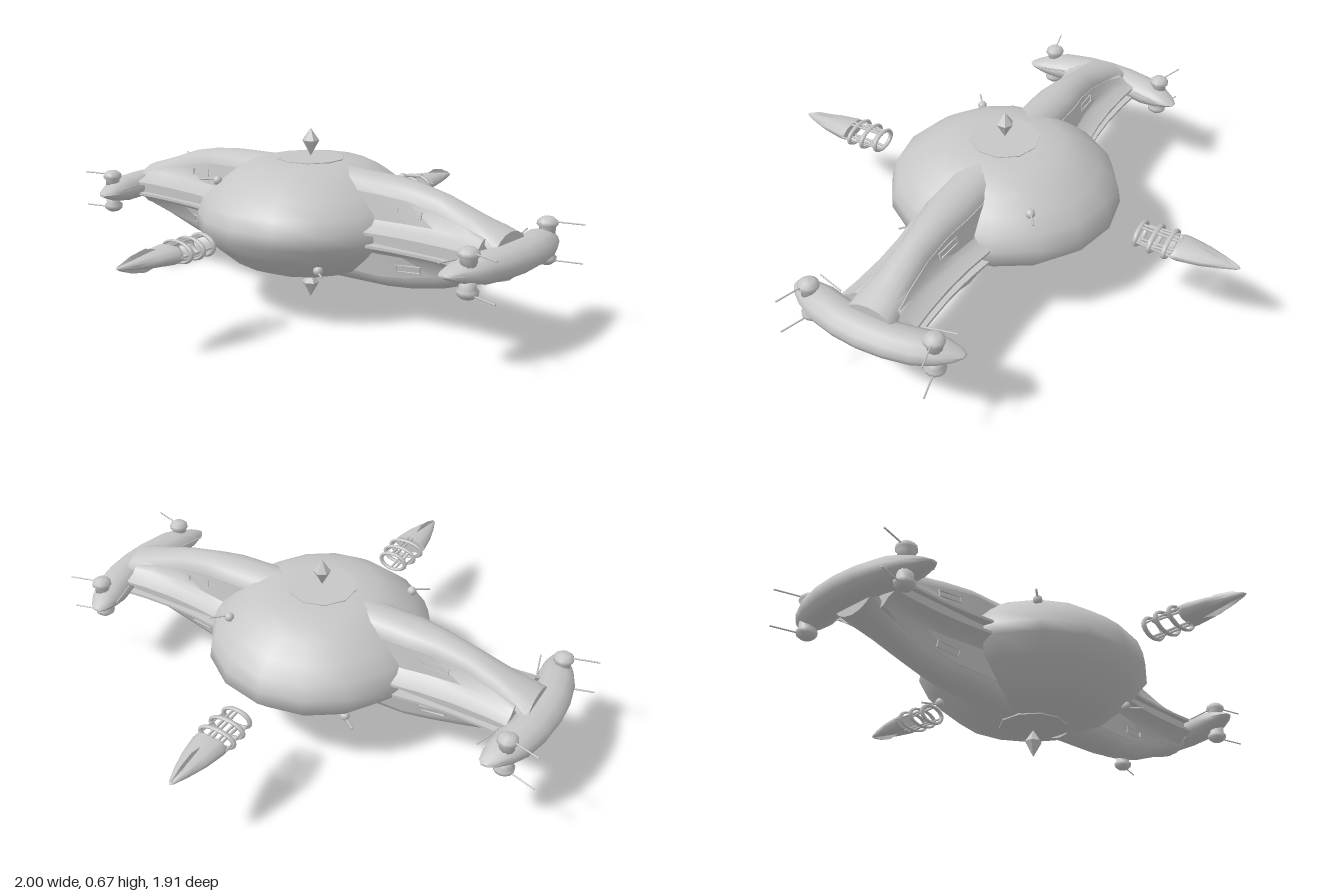
import * as THREE from 'three';
import { toCreasedNormals } from 'three/addons/utils/BufferGeometryUtils.js';

const grey = new THREE.MeshStandardMaterial({ color: 0xc6c6c6 });
grey.name = 'hull grey';

const V = (x, y, z) => new THREE.Vector3(x, y, z);

function part(name, geometry, parent) {
  const mesh = new THREE.Mesh(geometry, grey);
  mesh.name = name;
  parent.add(mesh);
  return mesh;
}

// Closed skin over rings of points; rings run counter-clockwise seen from the far end
function loft(rings, crease = 0.6) {
  const n = rings[0].length, last = (rings.length - 1) * n, index = [];
  for (let i = 0; i < rings.length - 1; i++) {
    for (let j = 0; j < n; j++) {
      const a = i * n + j, b = i * n + (j + 1) % n;
      index.push(a, b, b + n, a, b + n, a + n);
    }
  }
  for (let j = 1; j < n - 1; j++) {
    index.push(0, j + 1, j, last, last + j, last + j + 1);
  }
  const g = new THREE.BufferGeometry().setFromPoints(rings.flat());
  g.setIndex(index);
  return toCreasedNormals(g, crease);
}

// Thin round bar between two points
function bar(name, a, b, radius, parent) {
  const d = b.clone().sub(a);
  const mesh = part(name, new THREE.CylinderGeometry(radius, radius, d.length(), 6), parent);
  mesh.position.copy(a).addScaledVector(d, 0.5);
  mesh.quaternion.setFromUnitVectors(V(0, 1, 0), d.normalize());
}

function lathe(points, sides) {
  return new THREE.LatheGeometry(points.map(([r, y]) => new THREE.Vector2(r, y)), sides);
}

// Upper half of a wing: low shelf, steep walls, rounded spine and slots, heading to +x
function halfWing() {
  const wing = new THREE.Group();
  wing.name = 'halfWing';
  // x, spine top, spine foot, spine half width, shelf half width
  const stations = [
    [0.15, 0.213, 0.15, 0.09, 0.18], [0.4, 0.204, 0.15, 0.09, 0.165],
    [0.5, 0.194, 0.14, 0.075, 0.152], [0.62, 0.17, 0.115, 0.066, 0.145],
    [0.75, 0.125, 0.085, 0.075, 0.148], [0.83, 0.099, 0.068, 0.088, 0.155],
  ];
  part('walls', loft(stations.map(([x, , foot, w, e]) => {
    const side = [[e, 0.018], [e, 0.028], [w + 0.032, 0.043], [w + 0.012, 0.062], [w * 0.98, foot]];
    return [...side.map(([z, y]) => V(x, y, -z)), ...side.reverse().map(([z, y]) => V(x, y, z))];
  })), wing);
  const spine = [...stations, [0.88, 0.085, 0.03, 0.102]];
  part('spine', loft(spine.map(([x, top, foot, w]) => {
    const ring = [];
    for (let k = 0; k <= 8; k++) {
      const a = (k / 8 - 0.5) * Math.PI;
      ring.push(V(x, foot - 0.02 + (top - foot + 0.02) * Math.cos(a), w * Math.sin(a)));
    }
    return ring;
  })), wing);
  // slot frames on both walls
  for (const s of [1, -1]) {
    const frame = new THREE.Group();
    frame.name = 'slotFrame';
    frame.position.set(0.52, 0.102, s * 0.079);
    frame.rotation.set(-s * 0.2, s * 0.08, -0.06);
    for (const t of [1, -1]) {
      part('slotRail', new THREE.BoxGeometry(0.1, 0.004, 0.009), frame).position.y = t * 0.012;
      part('slotEnd', new THREE.BoxGeometry(0.004, 0.026, 0.009), frame).position.x = t * 0.048;
    }
    wing.add(frame);
  }
  return wing;
}

// Crescent pod across the wing tip, with turrets above and below
function tipPod() {
  const pod = new THREE.Group();
  pod.name = 'tipPod';
  // z, inner x, outer x, half height
  const half = [
    [0.1, 0.825, 0.968, 0.053], [0.2, 0.803, 0.947, 0.051],
    [0.27, 0.8, 0.915, 0.036], [0.32, 0.808, 0.878, 0.016], [0.342, 0.822, 0.85, 0.004],
  ];
  const all = [...half.map(([z, ...r]) => [-z, ...r]).reverse(), [0, 0.83, 0.975, 0.054], ...half];
  part('podBody', loft(all.map(([z, inner, outer, h]) => {
    const ring = [];
    for (let k = 0; k < 12; k++) {
      const a = k / 12 * Math.PI * 2;
      ring.push(V((inner + outer) / 2 + (outer - inner) / 2 * Math.cos(a), h * Math.sin(a), z));
    }
    return ring;
  }), 0.9), pod);
  for (const s of [1, -1]) {
    for (const u of [1, -1]) {
      const turret = part('podTurret', lathe(
        [[0, 0], [0.029, 0], [0.029, 0.03], [0.038, 0.038], [0.036, 0.052], [0.022, 0.064], [0, 0.067]], 12), pod);
      turret.position.set(0.875, u * 0.02, s * 0.252);
      if (u < 0) turret.rotation.x = Math.PI;
      bar('podGun', V(0.89, u * 0.07, s * 0.256), V(1, u * 0.07, s * 0.288), 0.003, pod);
    }
    bar('innerAntenna', V(0.81, 0.02, s * 0.17), V(0.78, 0.02, s * 0.28), 0.003, pod);
  }
  return pod;
}

// Free-floating probe: spike with a cage of hoops, pointing to +z
function probe() {
  const g = new THREE.Group();
  g.name = 'probe';
  const profile = [[0, 0.72], [0.066, 0.72], [0.067, 0.74], [0.053, 0.82], [0.032, 0.89], [0.012, 0.942], [0, 0.956]];
  const spike = lathe(profile, 10);
  spike.rotateX(Math.PI / 2);
  part('spike', toCreasedNormals(spike, 0.7), g).scale.y = 0.5;
  part('spikeRidge', loft([[0.74, 0.02], [0.83, 0.041], [0.89, 0.03], [0.945, 0.008]].map(([z, h]) =>
    [V(0.01, 0, z), V(0, h, z), V(-0.01, 0, z), V(0, -h, z)])), g);
  for (const [z, w] of [[0.573, 0.056], [0.632, 0.068], [0.69, 0.071]]) {
    const hoop = part('hoop', new THREE.TorusGeometry(w, 0.009, 6, 20), g);
    hoop.position.z = z;
    hoop.scale.y = 0.037 / w;
  }
  for (const s of [1, -1]) {
    bar('sideRod', V(s * 0.054, 0, 0.566), V(s * 0.066, 0, 0.73), 0.004, g);
    for (const u of [1, -1]) {
      bar('middleRod', V(s * 0.009, u * 0.035, 0.566), V(s * 0.009, u * 0.031, 0.73), 0.005, g);
    }
  }
  return g;
}

export function createModel() {
  const model = new THREE.Group();
  const craft = new THREE.Group();
  craft.name = 'craft';
  craft.position.y = 0.335;
  model.add(craft);

  // Lens-shaped main hull, bottom to top
  const hull = part('hull', lathe([
    [0, -0.212], [0.13, -0.21], [0.225, -0.189], [0.305, -0.158], [0.385, -0.092], [0.447, -0.03],
    [0.44, 0.02], [0.42, 0.073], [0.365, 0.122], [0.3, 0.17], [0.225, 0.206], [0.13, 0.219], [0, 0.221],
  ], 16), craft);
  hull.scale.x = 0.955;

  // Hatch plates and floating crystals above and below
  for (const u of [1, -1]) {
    part('hatch', new THREE.CylinderGeometry(0.13, 0.13, 0.008, 10), craft).position.y = u > 0 ? 0.218 : -0.21;
    const crystal = lathe([[0, -0.057], [0.033, 0.003], [0, 0.05]], 6);
    part('crystal', toCreasedNormals(crystal, 0.3), craft).position.y = u > 0 ? 0.283 : -0.278;
  }

  // Wings, tip pods and probes, each pair turned half a circle
  for (let k = 0; k < 2; k++) {
    const side = new THREE.Group();
    side.name = k ? 'rightSide' : 'leftSide';
    side.rotation.y = k * Math.PI;
    const lower = halfWing();
    lower.rotation.x = Math.PI;
    side.add(halfWing(), lower, tipPod());
    part('wingCore', new THREE.BoxGeometry(0.7, 0.04, 0.25), side).position.x = 0.5;
    craft.add(side);

    const p = probe();
    p.rotation.y = k * Math.PI;
    craft.add(p);
  }

  // Small hull turrets: two above, two below, on opposite diagonals
  for (const u of [1, -1]) {
    for (const s of [1, -1]) {
      const x = -u * s * 0.25, z = s * 0.25, y = u > 0 ? 0.135 : -0.122;
      const ball = part('hullTurret', new THREE.SphereGeometry(0.018, 10, 8), craft);
      ball.position.set(x, y, z);
      bar('hullGun', V(x, y + u * 0.008, z), V(x * 1.22, y + u * 0.004, z * 1.17), 0.004, craft);
    }
  }
  return model;
}
